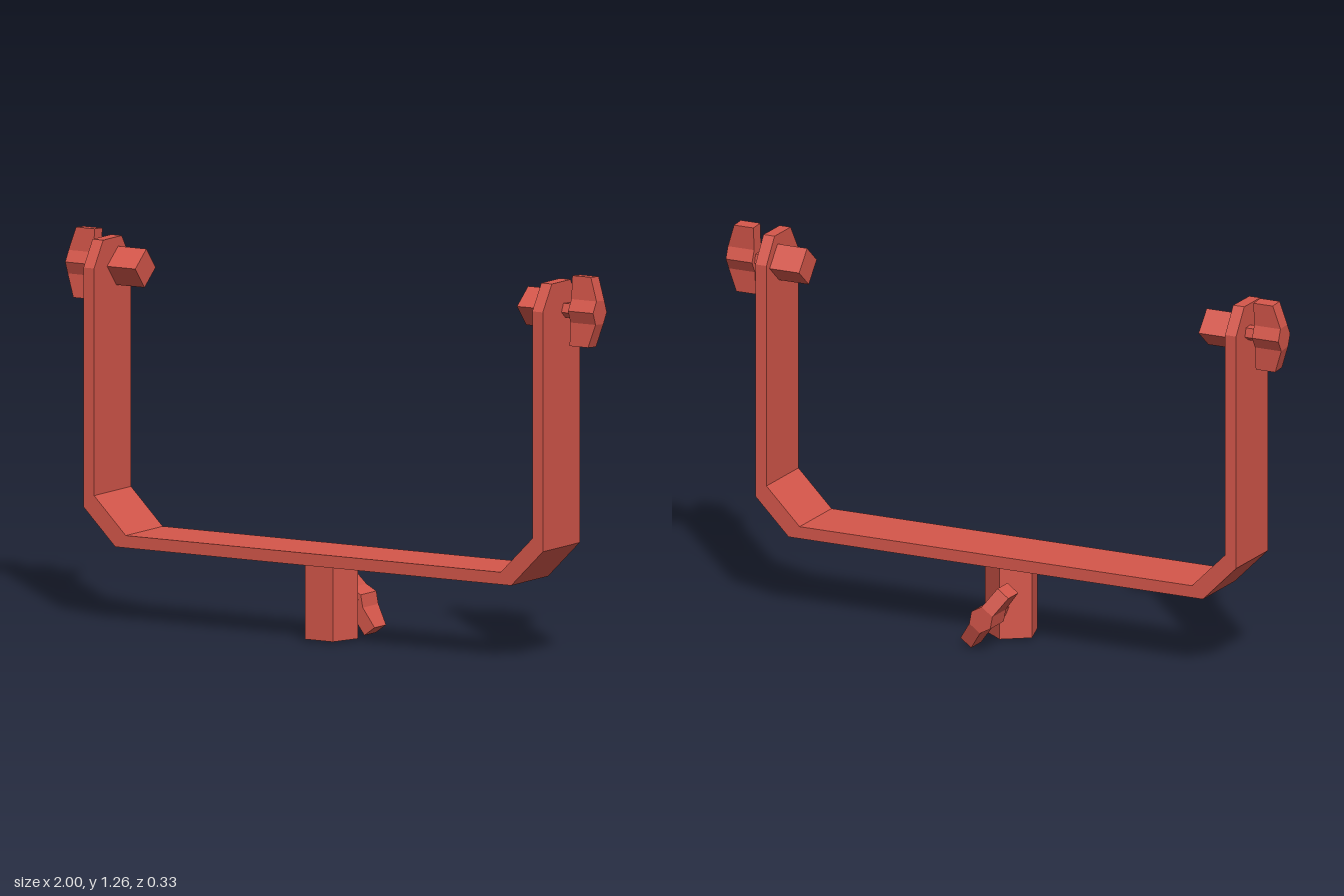
import * as THREE from 'three';

const red = new THREE.MeshStandardMaterial({ color: 0xd4564a });

// Faceted mesh: every face keeps its own normal
function part(name, geometry, parent) {
  const g = geometry.index ? geometry.toNonIndexed() : geometry;
  g.computeVertexNormals();
  const mesh = new THREE.Mesh(g, red);
  mesh.name = name;
  parent.add(mesh);
  return mesh;
}

const extrude = (pts, depth) => new THREE.ExtrudeGeometry(
  new THREE.Shape(pts.map(([x, y]) => new THREE.Vector2(x, y))),
  { depth, bevelEnabled: false });

// U-shaped strap: a rectangular section swept through stations [outerX, outerY, innerX, innerY, backZ, frontZ]
function strapGeometry() {
  const half = [
    [0.75, 0.255, 0.71, 0.295, -0.06, 0.165],
    [0.87, 0.375, 0.83, 0.415, -0.06, 0.165],
    [0.87, 1.155, 0.83, 1.155, -0.06, 0.165],
    [0.87, 1.24, 0.83, 1.24, -0.003, 0.11],
  ];
  const mirrored = half.map(([ox, oy, ix, iy, b, f]) => [-ox, oy, -ix, iy, b, f]).reverse();
  const stations = [...mirrored, ...half];
  const pos = [], idx = [];
  for (const [ox, oy, ix, iy, b, f] of stations) {
    pos.push(ox, oy, b, ox, oy, f, ix, iy, f, ix, iy, b);
  }
  const quad = (a, b, c, d) => idx.push(a, b, c, a, c, d);
  for (let s = 0; s < stations.length - 1; s++) {
    for (let k = 0; k < 4; k++) {
      const n = (k + 1) % 4, i = s * 4, j = i + 4;
      quad(i + k, j + k, j + n, i + n);
    }
  }
  const e = (stations.length - 1) * 4;
  quad(0, 1, 2, 3);
  quad(e + 3, e + 2, e + 1, e);
  const g = new THREE.BufferGeometry();
  g.setAttribute('position', new THREE.Float32BufferAttribute(pos, 3));
  g.setIndex(idx);
  return g;
}

// Wing knob pointing along +z, wings along y, with a shaft behind it
function wingKnob(name, shaftLength) {
  const knob = new THREE.Group();
  knob.name = name;
  const w = 0.024, depth = 0.095;
  part('knobHub', extrude([
    [-w, -0.038], [w, -0.038], [0.042, 0], [w, 0.038], [-w, 0.038], [-0.042, 0],
  ], depth), knob);
  const wings = extrude([
    [0, -0.114], [0.07, -0.114], [depth, -0.038], [depth, 0.038], [0.07, 0.114], [0, 0.114],
  ], w * 2);
  wings.translate(0, 0, -w).rotateY(-Math.PI / 2);
  part('knobWings', wings, knob);
  const shaft = new THREE.CylinderGeometry(0.026, 0.026, shaftLength, 5);
  shaft.rotateX(Math.PI / 2).translate(0, 0, -shaftLength / 2);
  part('knobShaft', shaft, knob);
  return knob;
}

export function createModel() {
  const model = new THREE.Group();
  model.name = 'yokeBracket';

  part('strap', strapGeometry(), model);

  // Five-sided mounting post with a flat front
  const post = new THREE.CylinderGeometry(0.09, 0.09, 0.25, 5);
  post.rotateY(Math.PI);
  part('mountingPost', post, model).position.set(0, 0.133, 0.057);

  // Clamp knob behind the post
  const clamp = wingKnob('postKnob', 0.06);
  clamp.position.set(0, 0.108, -0.07);
  clamp.rotation.set(0, Math.PI, -0.63);
  model.add(clamp);

  // Pivot knob outside and square peg inside each arm
  for (const side of [1, -1]) {
    const knob = wingKnob(side > 0 ? 'leftKnob' : 'rightKnob', 0.07);
    knob.position.set(side * 0.905, 1.146, 0.026);
    knob.rotation.set(0, side * Math.PI / 2, -side * 0.073);
    model.add(knob);

    const peg = new THREE.CylinderGeometry(0.0625, 0.0625, 0.11, 4);
    peg.rotateY(0.09).rotateZ(Math.PI / 2);
    part(side > 0 ? 'leftPeg' : 'rightPeg', peg, model)
      .position.set(side * 0.778, 1.146, 0.024);
  }
  return model;
}
